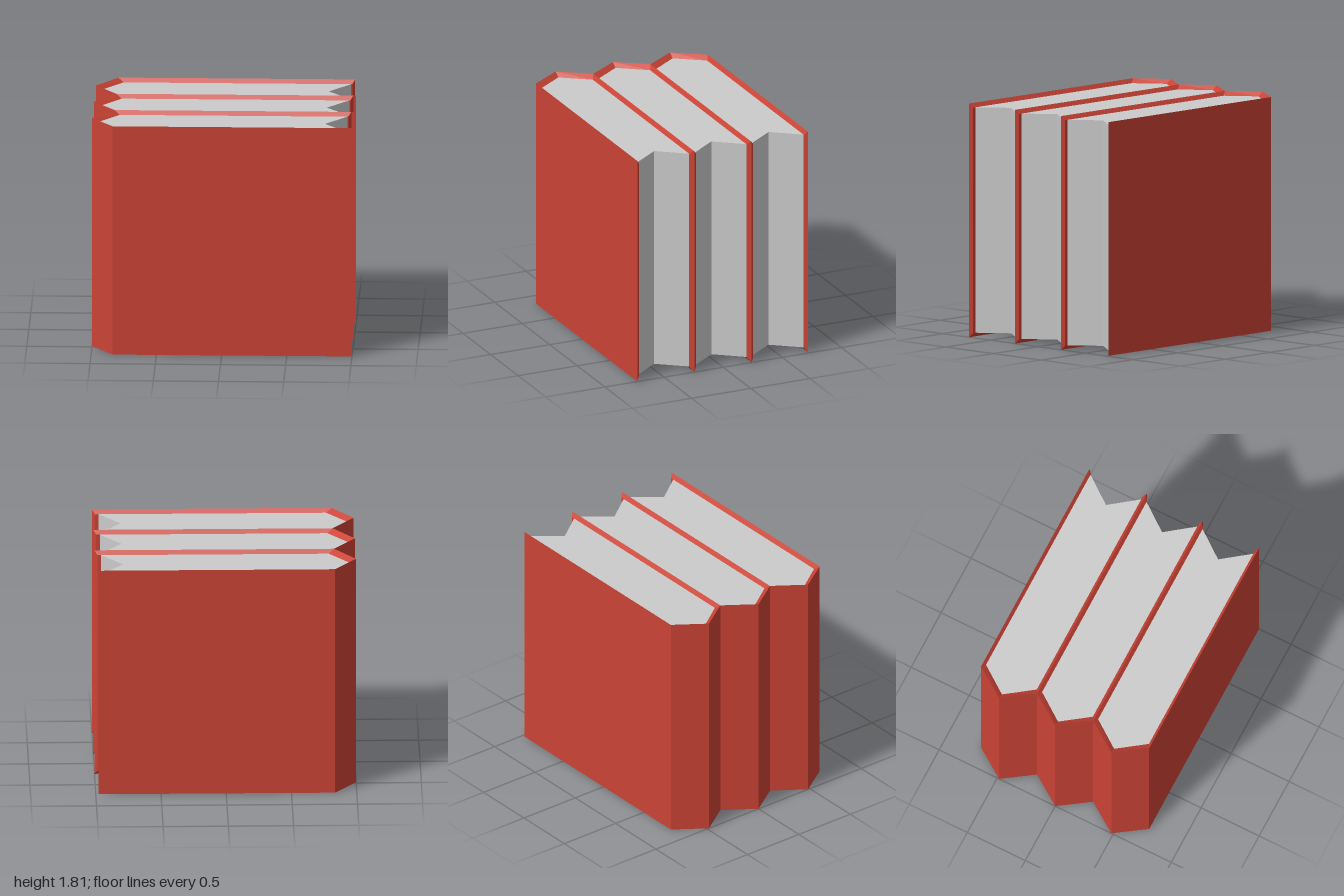
import * as THREE from 'three';

const HEIGHT = 1.81, HALF = 0.2417, BEVEL = 0.032, INNER = 0.219;

// Cover paths in plan [x, z]: front board, pointed spine, back board
const OUTER = [[1, HALF], [-0.835, HALF], [-1, 0], [-0.835, -HALF], [0.98, -HALF]];
const INSIDE = [[0.978, INNER], [-0.795, INNER], [-0.953, 0], [-0.795, -INNER], [0.958, -INNER]];

// Wrap-around cover whose rims slope inwards
function coverGeometry() {
  const rings = OUTER.map(([x, z], i) => {
    const [u, w] = INSIDE[i];
    return [[x, 0, z], [x, HEIGHT, z], [u, HEIGHT - BEVEL, w], [u, BEVEL, w]];
  });
  const pos = [];
  const quad = (a, b, c, d) => pos.push(...a, ...b, ...c, ...a, ...c, ...d);
  for (let i = 0; i < rings.length - 1; i++) {
    for (let j = 0; j < 4; j++) {
      const k = (j + 1) % 4;
      quad(rings[i][j], rings[i][k], rings[i + 1][k], rings[i + 1][j]);
    }
  }
  const first = rings[0], last = rings[rings.length - 1];
  quad(first[3], first[2], first[1], first[0]);
  quad(...last);
  const geo = new THREE.BufferGeometry();
  geo.setAttribute('position', new THREE.Float32BufferAttribute(pos, 3));
  geo.computeVertexNormals();
  return geo;
}

// Page block: pointed at the spine, notched at the opening edge
function pagesGeometry() {
  const plan = [[0.95, -INNER], [0.785, 0], [0.95, INNER], [-0.795, INNER], [-0.953, 0], [-0.795, -INNER]];
  const shape = new THREE.Shape(plan.map(([x, z]) => new THREE.Vector2(x, -z)));
  const geo = new THREE.ExtrudeGeometry(shape, { depth: HEIGHT - 2 * BEVEL, bevelEnabled: false });
  return geo.rotateX(-Math.PI / 2).translate(0, BEVEL, 0);
}

export function createModel() {
  const group = new THREE.Group();
  group.name = 'books';
  const red = new THREE.MeshStandardMaterial({ color: 0xcb4335, flatShading: true });
  const grey = new THREE.MeshStandardMaterial({ color: 0xcccccc, flatShading: true });
  const coverGeo = coverGeometry(), pagesGeo = pagesGeometry();

  // Three books side by side
  for (let i = -1; i <= 1; i++) {
    const book = new THREE.Group();
    book.name = 'book';
    const cover = new THREE.Mesh(coverGeo, red);
    cover.name = 'cover';
    const pages = new THREE.Mesh(pagesGeo, grey);
    pages.name = 'pages';
    book.add(cover, pages);
    book.position.z = i * 2 * HALF;
    group.add(book);
  }
  return group;
}
